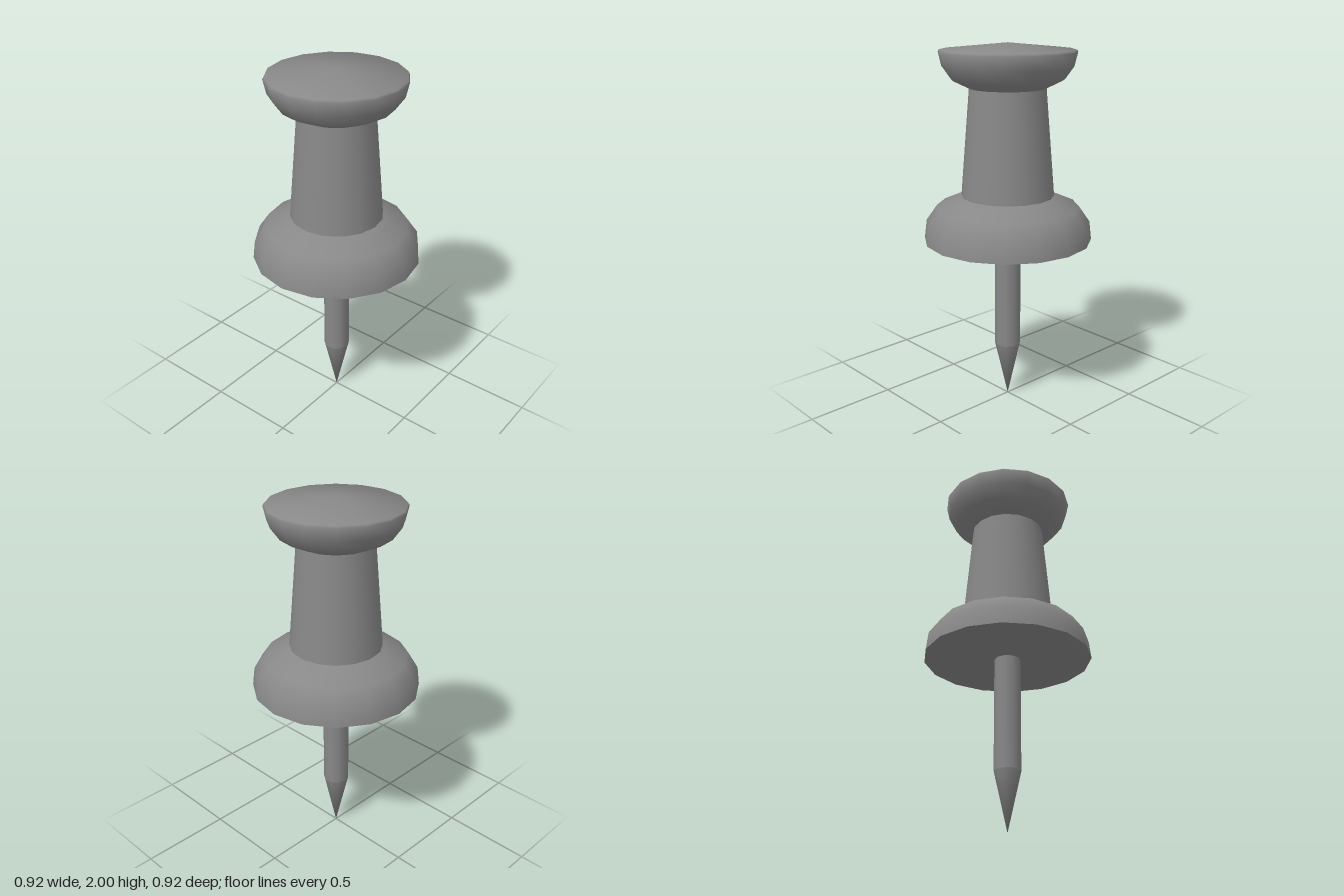
import * as THREE from 'three';

const material = new THREE.MeshStandardMaterial({ color: 0x888888 });

// Revolve a bottom-to-top profile of [radius, height] pairs; a corner lies on the x axis.
// Shading blends evenly across each profile corner and points straight along the axis at a pole.
function turned(name, profile, sides) {
  const points = profile.map(([r, y]) => new THREE.Vector2(r, y));
  const geometry = new THREE.LatheGeometry(points, sides, Math.PI / 2);
  const slopes = points.slice(1).map((p, i) =>
    new THREE.Vector2(p.y - points[i].y, points[i].x - p.x).normalize());
  const normals = points.map((p, i) => {
    const before = slopes[Math.max(i - 1, 0)];
    const after = slopes[Math.min(i, slopes.length - 1)];
    const n = before.clone().add(after).normalize();
    return p.x === 0 ? new THREE.Vector2(0, Math.sign(n.y)) : n;
  });
  const attribute = geometry.attributes.normal;
  for (let i = 0; i < attribute.count; i++) {
    const n = normals[i % points.length];
    const angle = Math.PI / 2 + Math.floor(i / points.length) * Math.PI * 2 / sides;
    attribute.setXYZ(i, n.x * Math.sin(angle), n.y, n.x * Math.cos(angle));
  }
  const mesh = new THREE.Mesh(geometry, material);
  mesh.name = name;
  return mesh;
}

export function createModel() {
  const pushpin = new THREE.Group();
  pushpin.name = 'pushpin';

  // Each crisp edge falls between two separate surfaces
  pushpin.add(
    // Steel needle
    turned('needleTip', [[0, 0], [0.072, 0.32]], 10),
    turned('needleShaft', [[0.072, 0.32], [0.072, 0.945]], 10),
    // Wide rounded base of the handle
    turned('baseUnderside', [[0, 0.945], [0.459, 0.945]], 16),
    turned('baseFlange', [[0.459, 0.945], [0.447, 1.045], [0.388, 1.13], [0.252, 1.19]], 16),
    // Tapered grip
    turned('grip', [[0.252, 1.19], [0.204, 1.767]], 16),
    // Rounded head flowing into a shallow domed top
    turned('head', [[0.204, 1.767], [0.299, 1.813], [0.347, 1.88], [0.364, 1.953], [0.358, 1.964], [0, 2]], 16),
  );
  return pushpin;
}
